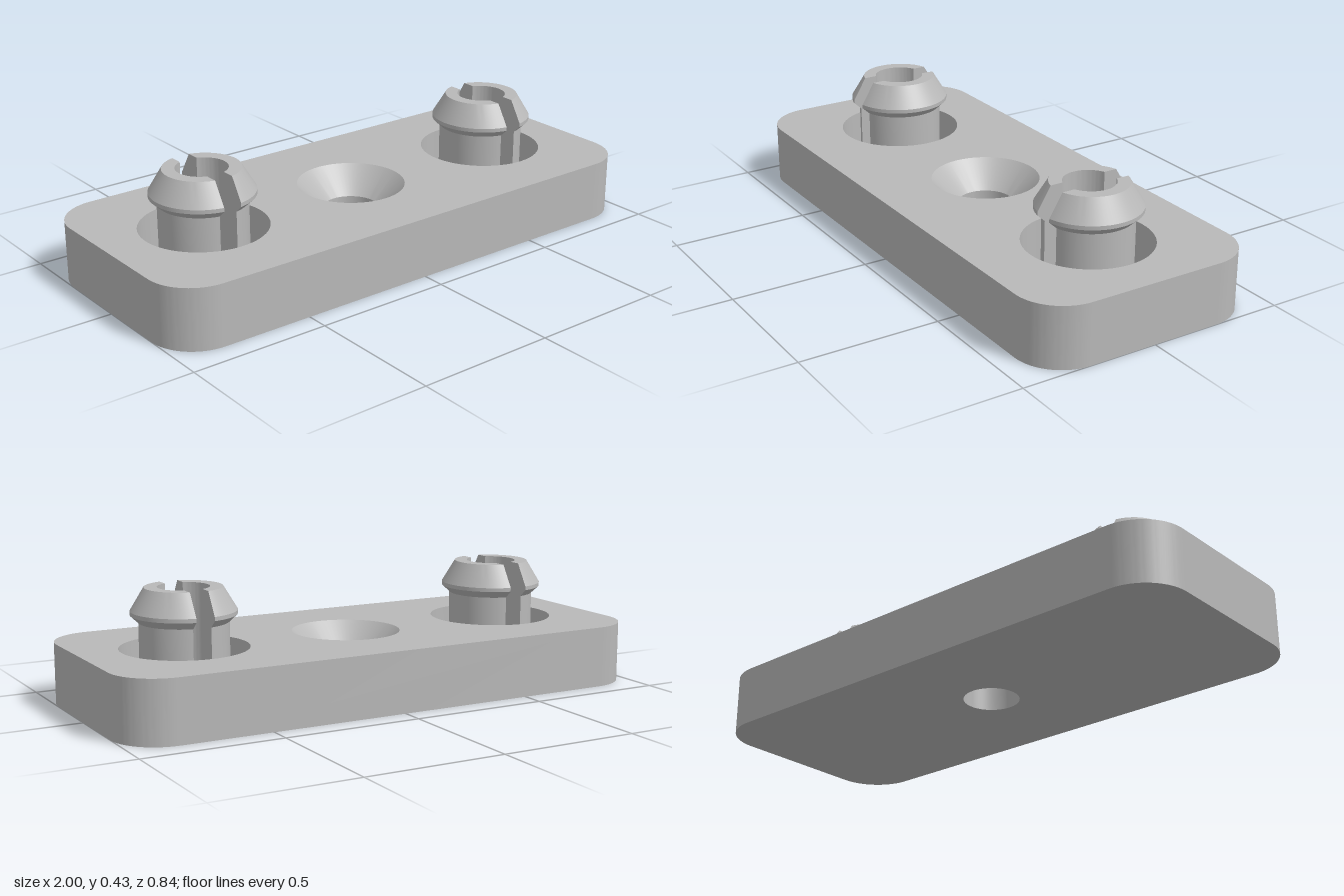
import * as THREE from 'three';
import { toCreasedNormals, mergeGeometries } from 'three/addons/utils/BufferGeometryUtils.js';

const W = 1, D = 0.42, H = 0.22, CORNER = 0.17;
const PIN_X = 0.63, POCKET_R = 0.225, FLOOR = 0.06;
const SINK_R = 0.195, HOLE_R = 0.1, SINK_Y = 0.125;
const SLOT = 0.033, SEG = 64;

const vecs = (list) => list.map(([x, y]) => new THREE.Vector2(x, y));

function outline() {
  const s = new THREE.Shape();
  const a = W - CORNER, b = D - CORNER;
  s.absarc(a, b, CORNER, 0, Math.PI / 2);
  s.absarc(-a, b, CORNER, Math.PI / 2, Math.PI);
  s.absarc(-a, -b, CORNER, Math.PI, Math.PI * 1.5);
  s.absarc(a, -b, CORNER, Math.PI * 1.5, Math.PI * 2);
  return s;
}

// Flat rounded rectangle pierced by round holes given as [x, radius]
function pierced(holes) {
  const s = outline();
  for (const [x, r] of holes) s.holes.push(new THREE.Path().absarc(x, 0, r, 0, Math.PI * 2, true));
  return new THREE.ShapeGeometry(s, SEG / 2);
}

// Vertical band around the plate
function wallGeometry() {
  const p = outline().getPoints(16);
  const pos = [];
  for (let i = 0; i < p.length; i++) {
    const a = p[i], b = p[(i + 1) % p.length];
    if (a.distanceTo(b) < 1e-6) continue;
    pos.push(a.x, 0, -a.y, b.x, 0, -b.y, b.x, H, -b.y);
    pos.push(a.x, 0, -a.y, b.x, H, -b.y, a.x, H, -a.y);
  }
  const g = new THREE.BufferGeometry();
  g.setAttribute('position', new THREE.Float32BufferAttribute(pos, 3));
  return toCreasedNormals(g, 0.5);
}

const lathe = (list) => toCreasedNormals(new THREE.LatheGeometry(vecs(list), SEG), 0.5);

// Half of a hollow barbed pin, cut flat at x = SLOT
function pinHalfGeometry() {
  const profile = [
    [0.155, FLOOR], [0.155, 0.31], [0.183, 0.336], [0.183, 0.35],
    [0.135, 0.43], [0.09, 0.43], [0.09, FLOOR],
  ];
  const shell = new THREE.LatheGeometry(vecs(profile), SEG / 2, 0, Math.PI);
  const p = shell.attributes.position;
  for (let i = 0; i < p.count; i++) {
    const r = Math.hypot(p.getX(i), p.getZ(i));
    const cut = Math.asin(SLOT / r);
    const phi = cut + Math.atan2(Math.max(0, p.getX(i)), p.getZ(i)) * (1 - 2 * cut / Math.PI);
    p.setXYZ(i, r * Math.sin(phi), p.getY(i), r * Math.cos(phi));
  }
  const parts = [toCreasedNormals(shell, 0.5)];
  // Slot faces
  for (const side of [1, -1]) {
    const section = profile.map(([r, y]) => [side * Math.sqrt(r * r - SLOT * SLOT), y]);
    const cap = new THREE.ShapeGeometry(new THREE.Shape(vecs(section)));
    const c = cap.attributes.position;
    for (let i = 0; i < c.count; i++) c.setXYZ(i, SLOT, c.getY(i), c.getX(i));
    const flat = cap.toNonIndexed();
    flat.computeVertexNormals();
    parts.push(flat);
  }
  return mergeGeometries(parts);
}

export function createModel() {
  const model = new THREE.Group();
  model.name = 'mountingPlate';
  const grey = new THREE.MeshStandardMaterial({ color: 0xb8b8b8 });
  grey.name = 'grey plastic';
  const add = (name, geometry, parent = model) => {
    const mesh = new THREE.Mesh(geometry, grey);
    mesh.name = name;
    parent.add(mesh);
    return mesh;
  };

  // Plate
  const plate = new THREE.Group();
  plate.name = 'plate';
  model.add(plate);
  add('plateWall', wallGeometry(), plate);
  const top = pierced([[-PIN_X, POCKET_R], [0, SINK_R], [PIN_X, POCKET_R]]);
  add('plateTop', top.rotateX(-Math.PI / 2).translate(0, H, 0), plate);
  add('plateBottom', pierced([[0, HOLE_R]]).rotateX(Math.PI / 2), plate);
  add('countersunkHole', lathe([[SINK_R, H], [HOLE_R, SINK_Y], [HOLE_R, 0]]), plate);

  // Split snap pins standing in round pockets
  const pocket = lathe([[POCKET_R, H], [POCKET_R, FLOOR], [0, FLOOR]]);
  const half = pinHalfGeometry();
  for (const side of [1, -1]) {
    const pin = new THREE.Group();
    pin.name = side > 0 ? 'leftSnapPin' : 'rightSnapPin';
    pin.position.x = side * PIN_X;
    model.add(pin);
    add('pocket', pocket, pin);
    add('outerProng', half, pin);
    add('innerProng', half, pin).rotation.y = Math.PI;
  }
  return model;
}
